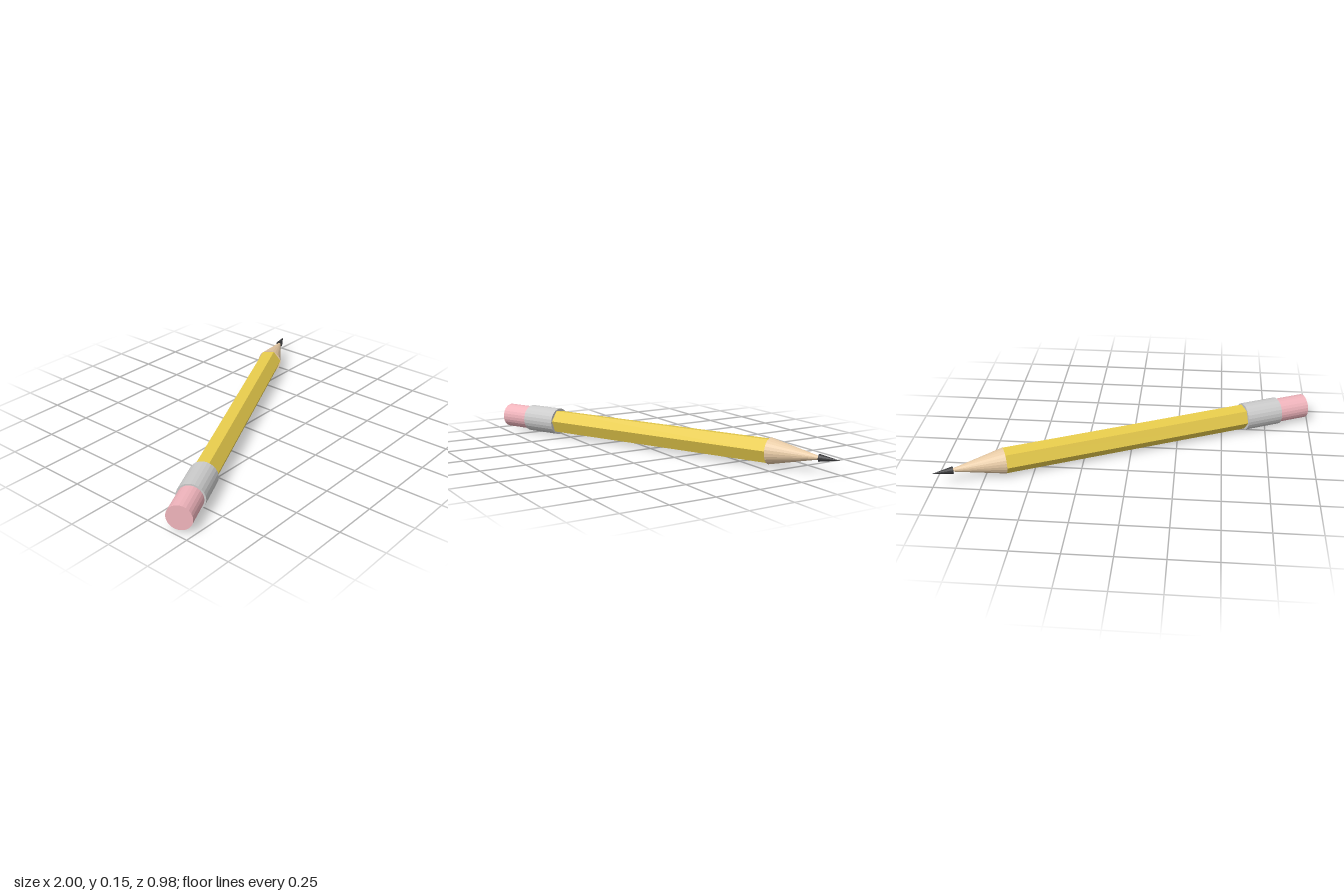
import * as THREE from 'three';

export function createModel() {
  const pencil = new THREE.Group();
  pencil.name = 'pencil';

  // One section of the pencil along local x, with the lead point at x = 0
  function section(name, color, start, end, startRadius, endRadius, sides, turn = 0) {
    const geometry = new THREE.CylinderGeometry(endRadius, startRadius, end - start, sides, 1, false, turn);
    geometry.rotateZ(-Math.PI / 2);
    geometry.translate((start + end) / 2, 0, 0);
    const material = new THREE.MeshStandardMaterial({ color, flatShading: true });
    const mesh = new THREE.Mesh(geometry, material);
    mesh.name = name;
    pencil.add(mesh);
  }

  section('eraser', 0xf0b4bc, -2.175, -1.99, 0.068, 0.068, 24);
  section('ferrule', 0xcccccc, -2.0, -1.787, 0.077, 0.077, 24);
  // Hexagonal body, rolled slightly about its axis
  section('body', 0xe8cc4c, -1.8, -0.383, 0.07, 0.07, 6, THREE.MathUtils.degToRad(-8));
  section('sharpenedWood', 0xe8cba6, -0.383, -0.07, 0.07, 0, 24);
  section('lead', 0x3a3a3c, -0.11, 0, 0.02, 0, 24);

  // Lay the pencil diagonally on the ground
  pencil.rotation.y = THREE.MathUtils.degToRad(25);
  pencil.position.set(1, 0.077, -0.49);

  const model = new THREE.Group();
  model.name = 'model';
  model.add(pencil);
  return model;
}
